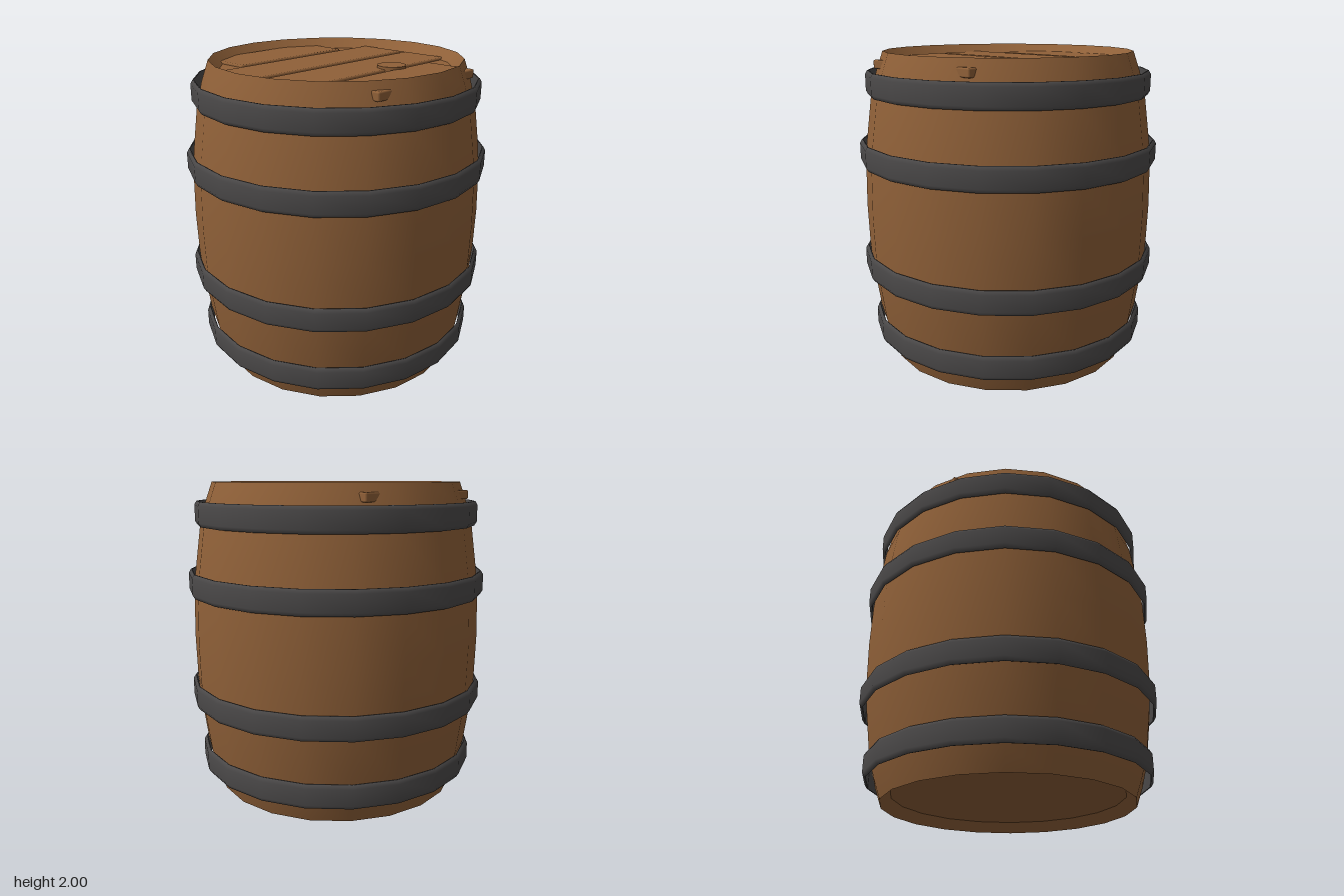
import * as THREE from 'three';
import { RoundedBoxGeometry } from 'three/addons/geometries/RoundedBoxGeometry.js';

const SIDES = 20;

export function createModel() {
  const model = new THREE.Group();
  model.name = 'barrel';
  const wood = new THREE.MeshStandardMaterial({ color: 0x8f6038 });
  wood.name = 'brown wood';
  const iron = new THREE.MeshStandardMaterial({ color: 0x4b4949 });
  iron.name = 'dark iron';

  const add = (parent, name, geometry, material, x = 0, y = 0, z = 0) => {
    const mesh = new THREE.Mesh(geometry, material);
    mesh.name = name;
    mesh.position.set(x, y, z);
    parent.add(mesh);
    return mesh;
  };
  // Profile points run counterclockwise so that the surface faces outwards
  const lathe = (points) =>
    new THREE.LatheGeometry(points.map(([r, y]) => new THREE.Vector2(r, y)), SIDES);

  // Bulging wall, mirrored about mid-height
  const half = [[0.8, 0], [0.846, 0.13], [0.885, 0.28], [0.925, 0.57], [0.938, 0.72]];
  const wall = [...half, [0.945, 1], ...half.map(([r, y]) => [r, 2 - y]).reverse()];
  add(model, 'wall', lathe(wall), wood);

  // Sloping inner rims and recessed heads at both ends
  const recess = 0.065;
  add(model, 'topRim', lathe([[0.8, 2], [0.74, 2 - recess]]), wood);
  add(model, 'topHead', lathe([[0.74, 2 - recess], [0, 2 - recess]]), wood);
  add(model, 'bottomRim', lathe([[0.74, recess], [0.8, 0]]), wood);
  add(model, 'bottomHead', lathe([[0, recess], [0.74, recess]]), wood);

  // Lid planks; the corners of the outer pair poke through the wall
  const lid = new THREE.Group();
  lid.name = 'lidPlanks';
  model.add(lid);
  for (const side of [-1, 1]) {
    const inner = new RoundedBoxGeometry(0.33, 0.055, 1.36, 1, 0.01);
    add(lid, 'innerPlank', inner, wood, side * 0.185, 1.9225, 0);
    const outer = new RoundedBoxGeometry(0.345, 0.055, 0.9, 1, 0.01);
    add(lid, 'outerPlank', outer, wood, side * 0.5625, 1.9225, 0);
  }

  // Bung in the lid
  add(model, 'bung', new THREE.CylinderGeometry(0.093, 0.093, 0.05, 10), wood, 0.33, 1.94, -0.15);

  // Four chamfered iron hoops, standing slightly clear of the wall
  const hoops = [[0.205, 0.915], [0.645, 0.97], [1.365, 0.97], [1.805, 0.915]];
  for (const [y, r] of hoops) {
    const h = 0.076;
    const profile = [
      [r - 0.022, -h], [r - 0.014, -h], [r, -h + 0.024], [r, h - 0.024],
      [r - 0.014, h], [r - 0.022, h], [r - 0.022, -h],
    ];
    add(model, 'hoop', lathe(profile), iron, 0, y, 0);
  }
  return model;
}
